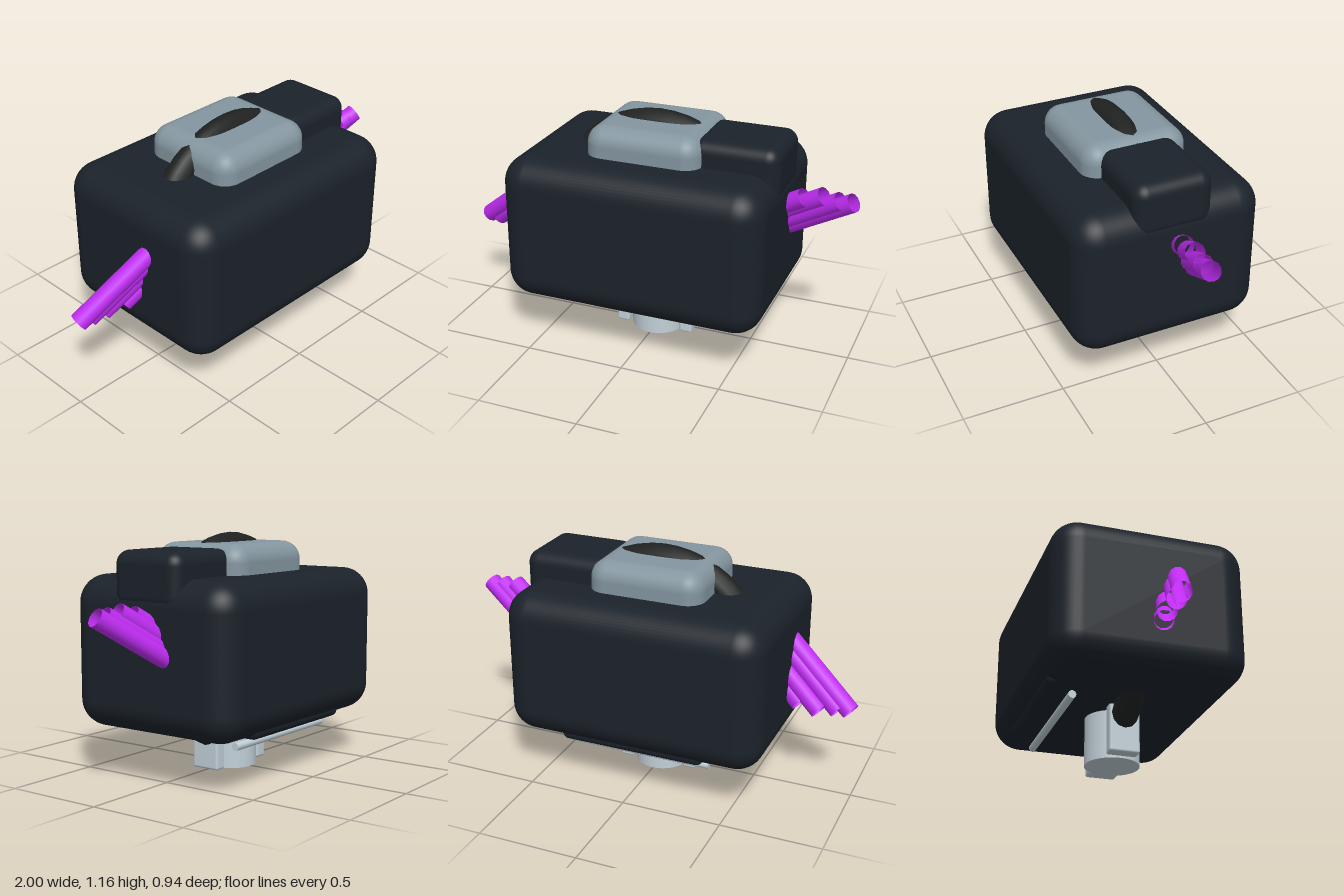
import * as THREE from 'three';
import { RoundedBoxGeometry } from 'three/addons/geometries/RoundedBoxGeometry.js';

const mat = (color, side = THREE.FrontSide) => new THREE.MeshStandardMaterial({ color, side });

export function createModel() {
  const model = new THREE.Group();
  const dark = mat(0x1b222a);
  const rubber = mat(0x202222);
  const steel = mat(0x8496a0);
  const pale = mat(0xc2d0d8);
  const purple = mat(0xc12df5, THREE.DoubleSide);

  const add = (name, geometry, material, x = 0, y = 0, z = 0) => {
    const mesh = new THREE.Mesh(geometry, material);
    mesh.name = name;
    mesh.position.set(x, y, z);
    model.add(mesh);
    return mesh;
  };

  // Rounded box given by its min and max corners
  const block = (name, material, [x0, y0, z0], [x1, y1, z1], radius) =>
    add(name, new RoundedBoxGeometry(x1 - x0, y1 - y0, z1 - z0, 6, radius), material,
      (x0 + x1) / 2, (y0 + y1) / 2, (z0 + z1) / 2);

  // Housing and the parts set into its top
  block('body', dark, [-0.655, 0.24, -0.47], [0.655, 0.975, 0.47], 0.135);
  block('topCover', steel, [-0.29, 0.8, -0.265], [0.29, 1.12, 0.265], 0.09);
  block('sideHousing', dark, [0.22, 0.83, -0.195], [0.655, 1.1, 0.195], 0.065);

  // Upright ring running through the body
  add('ring', new THREE.TorusGeometry(0.475, 0.065, 12, 48), rubber, 0, 0.625, 0);

  // Post with a guide plate on each side
  add('post', new THREE.CylinderGeometry(0.134, 0.134, 0.5, 32), pale, 0, 0.25, 0);
  for (const s of [-1, 1]) {
    const plate = block('guidePlate', pale, [-0.033, 0.005, -0.075], [0.033, 0.5, 0.075], 0.012);
    plate.position.x = s * 0.172;
  }

  // Rear underside pad and the rod beneath it
  block('rearPad', dark, [-0.37, 0.23, -0.42], [0.37, 0.36, -0.2], 0.035);
  const rod = add('rearRod', new THREE.CylinderGeometry(0.019, 0.019, 0.74, 16), pale, 0, 0.19, -0.305);
  rod.rotation.z = Math.PI / 2;

  // Slanted open pipes: outer ends, and the direction leading into the body
  const pipe = (end, dir, length) => {
    const d = new THREE.Vector3(...dir).normalize();
    const mesh = add('pipe', new THREE.CylinderGeometry(0.046, 0.046, length, 12, 1, true), purple);
    mesh.quaternion.setFromUnitVectors(new THREE.Vector3(0, 1, 0), d);
    mesh.position.set(...end).addScaledVector(d, length / 2);
  };
  const leftEnds = [[0.97, 0.83, 0], [0.91, 0.83, 0.005], [0.83, 0.84, 0], [0.735, 0.82, 0]];
  const rightEnds = [[-0.97, 0.455, 0], [-0.91, 0.45, 0.0], [-0.82, 0.435, -0.01], [-0.715, 0.445, 0.015]];
  for (const e of leftEnds) pipe(e, [-1, -0.63, -0.32], (e[0] - 0.5) * 1.22);
  for (const e of rightEnds) pipe(e, [1, 0.8, 0.34], (-e[0] - 0.5) * 1.32);

  return model;
}
